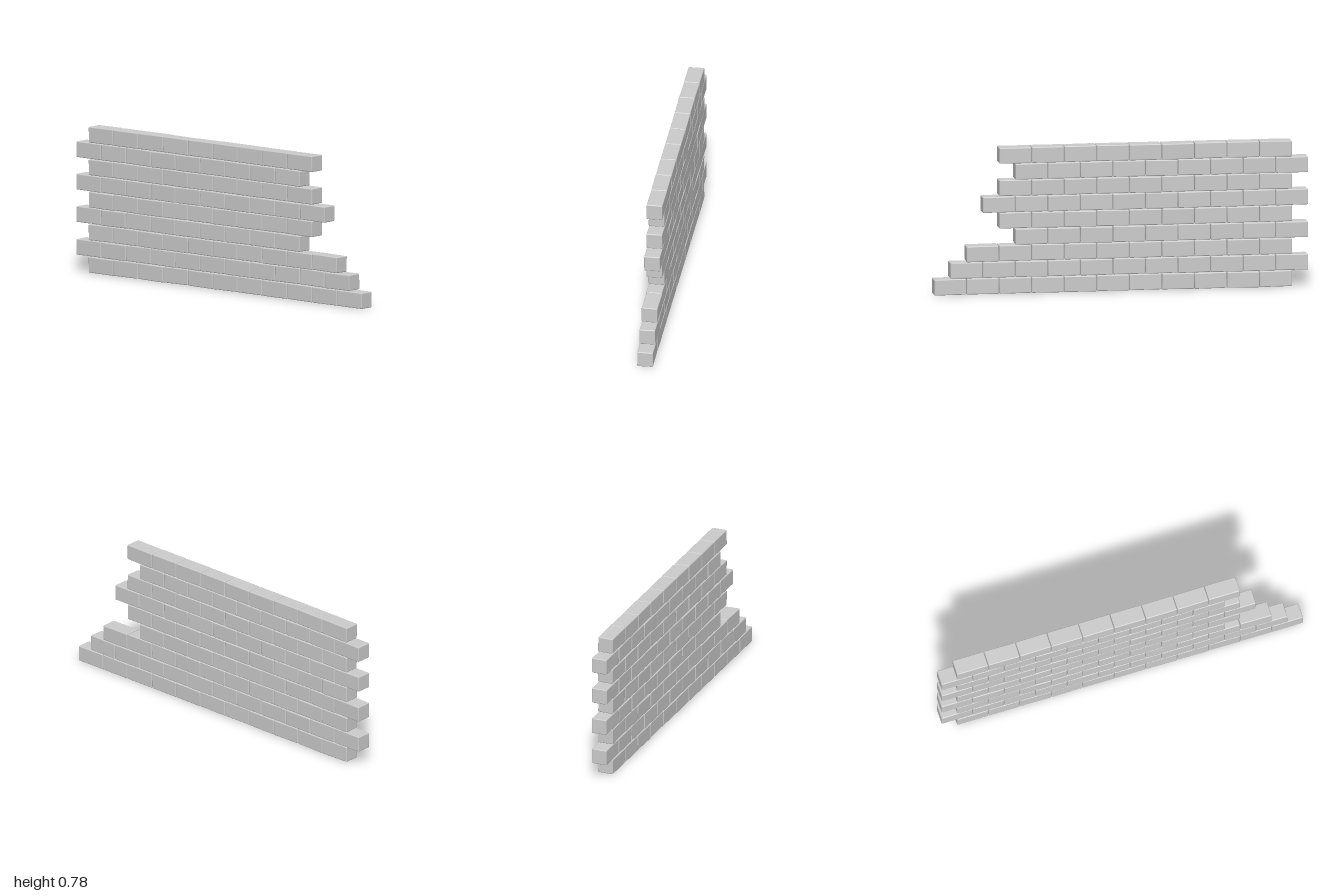
import * as THREE from 'three';
import { RoundedBoxGeometry } from 'three/addons/geometries/RoundedBoxGeometry.js';

// Small seeded generator, returns -1..1
function seeded(seed) {
  let s = seed;
  return () => {
    s = (s * 16807) % 2147483647;
    return (s / 2147483647) * 2 - 1;
  };
}

export function createModel() {
  const wall = new THREE.Group();
  wall.name = 'brickWall';
  const material = new THREE.MeshStandardMaterial({ color: 0xcccccc });
  const rand = seeded(4321);

  const pitchX = 0.1735, pitchY = 0.0865;
  const brick = new RoundedBoxGeometry(0.171, 0.084, 0.084, 2, 0.005);

  // Courses from the ground up: left edge and number of bricks
  const long = -1.0, short = -0.914;
  const courses = [
    [short, 11], [long, 11], [short, 10], [long, 9], [short, 9],
    [long, 10], [short, 9], [long, 9], [short, 9],
  ];

  courses.forEach(([startX, count], row) => {
    const course = new THREE.Group();
    course.name = `course${row + 1}`;
    course.position.y = 0.0445 + row * pitchY;
    for (let i = 0; i < count; i++) {
      const mesh = new THREE.Mesh(brick, material);
      mesh.name = `brick${i + 1}`;
      // Each brick is laid slightly askew
      mesh.position.set(startX + (i + 0.5) * pitchX, rand() * 0.0006, -0.001 + rand() * 0.0008);
      mesh.rotation.set(rand() * 0.02, rand() * 0.012, rand() * 0.014);
      course.add(mesh);
    }
    wall.add(course);
  });

  return wall;
}
